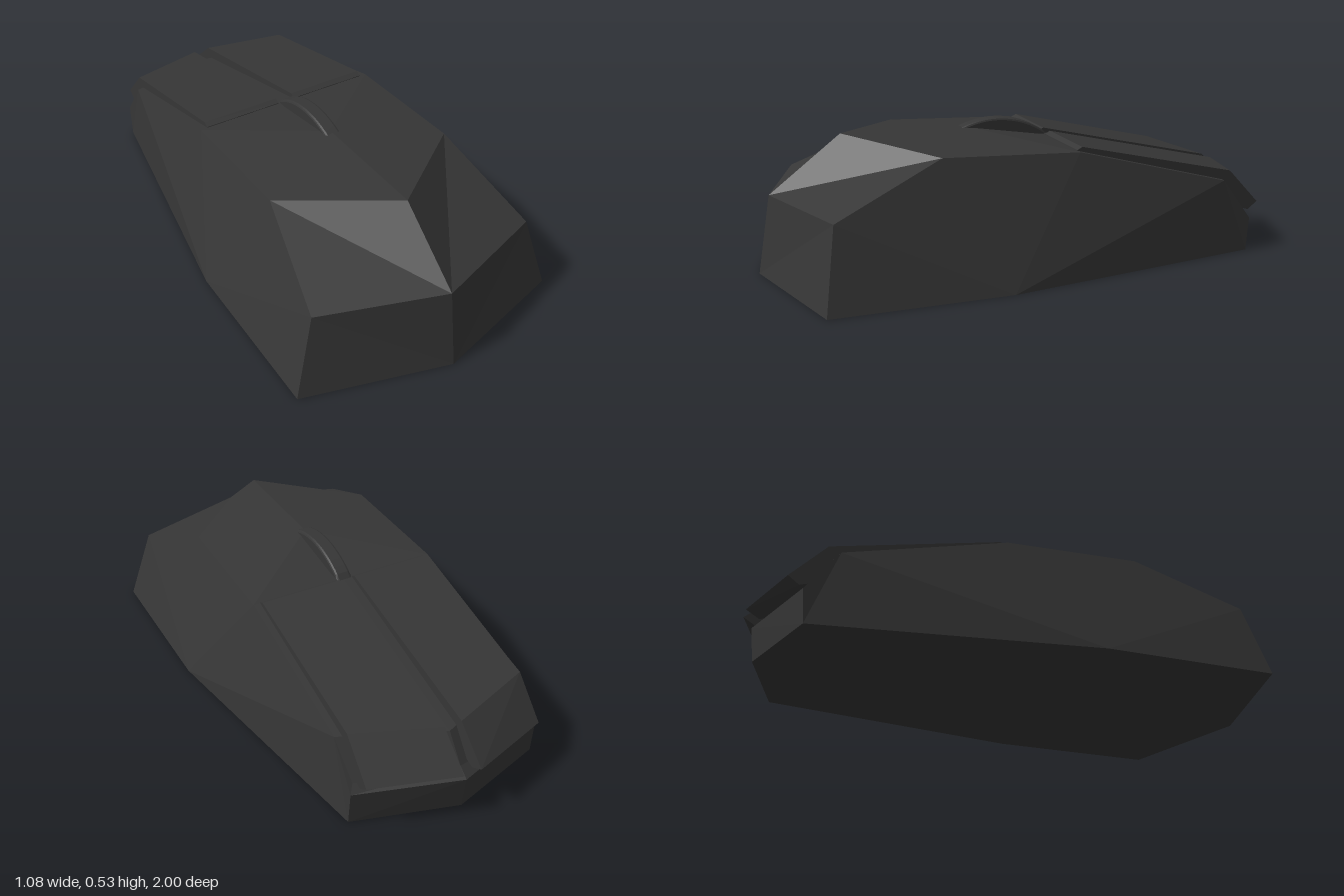
import * as THREE from 'three';
import { ConvexGeometry } from 'three/addons/geometries/ConvexGeometry.js';

const charcoal = new THREE.MeshStandardMaterial({ color: 0x363636, flatShading: true });
charcoal.name = 'charcoal';

function part(name, geometry) {
  const mesh = new THREE.Mesh(geometry, charcoal);
  mesh.name = name;
  return mesh;
}

// Faceted shell: one half is given as polygons, mirrored in x, each facing outward
function mirroredShell(points, faces, centre) {
  const pos = [];
  const n = new THREE.Vector3();
  for (const side of [1, -1]) {
    for (const face of faces) {
      const v = face.split(' ').map((k) => {
        const [x, y, z] = points[k];
        return new THREE.Vector3(x * side, y, z);
      });
      for (let i = 1; i < v.length - 1; i++) {
        const t = new THREE.Triangle(v[0], v[i], v[i + 1]);
        t.getNormal(n);
        const outward = n.dot(v[0].clone().sub(centre)) > 0;
        const order = outward ? [t.a, t.b, t.c] : [t.a, t.c, t.b];
        order.forEach((p) => pos.push(p.x, p.y, p.z));
      }
    }
  }
  const g = new THREE.BufferGeometry();
  g.setAttribute('position', new THREE.Float32BufferAttribute(pos, 3));
  g.computeVertexNormals();
  return g;
}

export function createModel() {
  const group = new THREE.Group();
  group.name = 'computerMouse';

  // Body: centre line points end in 0, side points do not
  const points = {
    base0: [0, 0, 1], base: [0.54, 0, 0.85], waist: [0.54, 0, 0.19],
    tail: [0.38, 0, -0.84], tail0: [0, 0, -0.955],
    brow0: [0, 0.295, 0.95], brow: [0.455, 0.295, 0.8],
    crown0: [0, 0.505, 0.68], crown: [0.375, 0.47, 0.4],
    ridge0: [0, 0.5, 0.2],
    mid0: [0, 0.45, -0.12], mid: [0.375, 0.45, -0.12],
    bend0: [0, 0.257, -0.855], bend: [0.375, 0.29, -0.73],
    ledge0: [0, 0.16, -0.93], ledge: [0.36, 0.16, -0.83],
    lip0: [0, 0.13, -0.97], lip: [0.378, 0.13, -0.85],
  };
  const faces = [
    'base0 base brow brow0', 'brow0 brow crown crown0',          // palm end
    'crown0 crown ridge0', 'ridge0 crown mid', 'ridge0 mid mid0', // top
    'mid0 mid bend bend0', 'bend0 bend ledge ledge0',             // under the buttons
    'ledge0 ledge lip lip0', 'lip0 lip tail tail0',               // finger end lip
    'brow base waist', 'brow waist crown', 'crown waist mid',     // flank
    'mid waist bend', 'bend waist tail', 'bend tail lip', 'bend lip ledge',
    'base0 base waist', 'base0 waist tail', 'base0 tail tail0',   // underside
  ];
  group.add(part('body', mirroredShell(points, faces, new THREE.Vector3(0, 0.2, 0))));

  // Click buttons: sloping plates that bend down over the finger end
  const inner = 0.034, outer = 0.348;
  for (const side of [1, -1]) {
    const rows = [
      [0.4, -0.12, -0.12], [0.452, -0.12, -0.12], [0.463, -0.14, -0.14],
      [0.298, -0.87, -0.77, 0.321], [0.185, -1, -0.9], [0.155, -0.95, -0.86],
    ];
    const corners = rows.flatMap(([y, zIn, zOut, yOut = y]) => [
      new THREE.Vector3(side * inner, y, zIn),
      new THREE.Vector3(side * outer, yOut, zOut),
    ]);
    group.add(part(side > 0 ? 'leftButton' : 'rightButton', new ConvexGeometry(corners)));
  }

  // Scroll wheel: a shallow arc segment with bevelled rims
  const arc = new THREE.Shape();
  const reach = 0.62;
  arc.absarc(0, 0, 0.34, Math.PI / 2 - reach, Math.PI / 2 + reach, false);
  arc.closePath();
  const wheelGeometry = new THREE.ExtrudeGeometry(arc, {
    depth: 0.044, curveSegments: 14,
    bevelThickness: 0.009, bevelSize: 0.008, bevelSegments: 2,
  });
  wheelGeometry.translate(0, 0, -0.022);
  wheelGeometry.rotateY(Math.PI / 2);
  const wheel = part('scrollWheel', wheelGeometry);
  wheel.position.set(0, 0.179, 0.08);
  group.add(wheel);

  return group;
}
